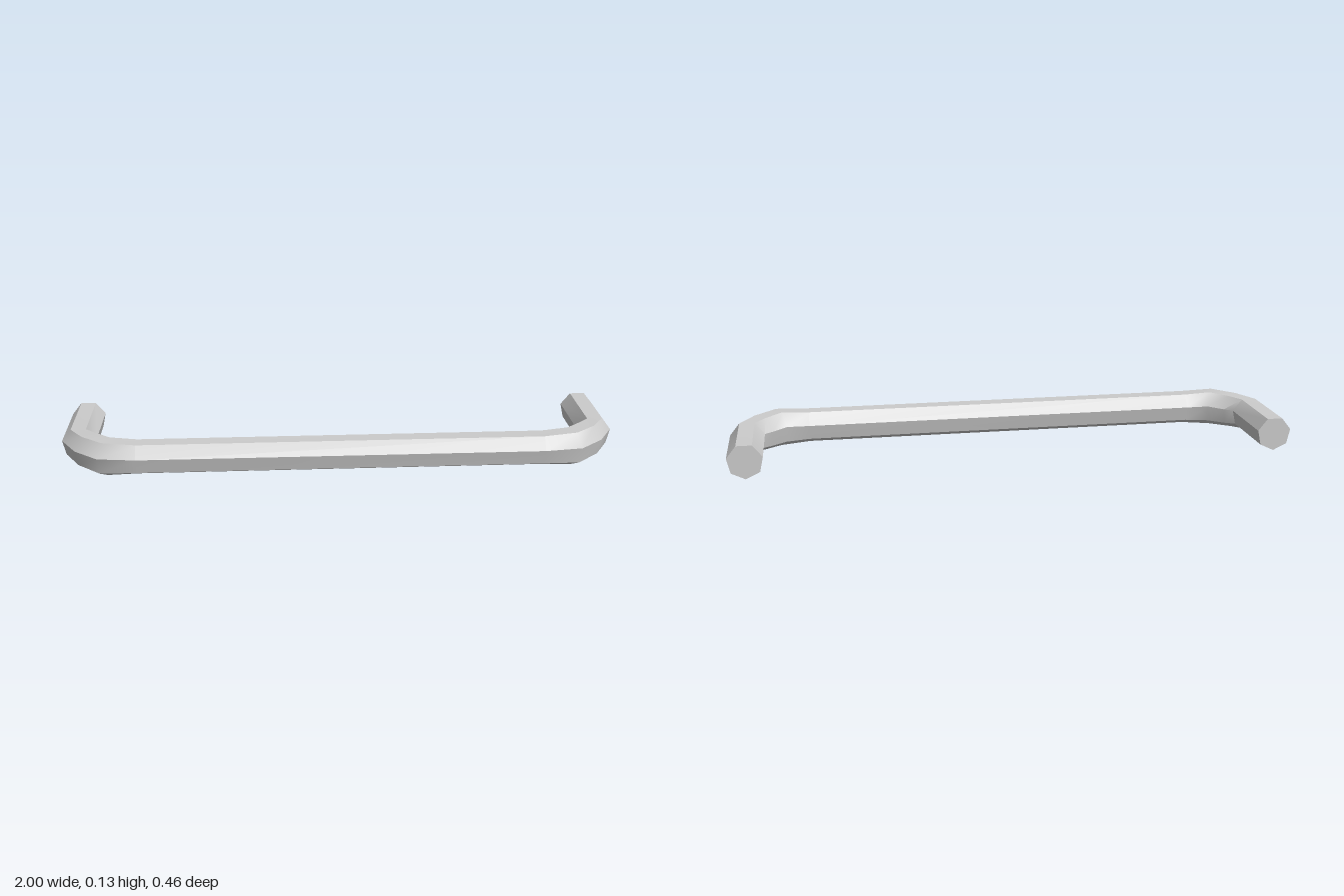
import * as THREE from 'three';
import { toCreasedNormals } from 'three/addons/utils/BufferGeometryUtils.js';

const SIDES = 7;
const CENTRE_Y = 0.0703;

// Half of the handle's path: x, z, outward angle (degrees), radius across, radius up
const HALF = [
  [0.939, -0.229, 0, 0.0626, 0.0626],  // leg end
  [0.939, 0.035, 2, 0.0626, 0.0626],   // leg meets bend
  [0.895, 0.096, 43, 0.064, 0.067],    // middle of bend
  [0.827, 0.157, 65, 0.0645, 0.0703],  // bend meets bar
  [0.72, 0.166, 90, 0.0626, 0.0626],   // straight bar
];

// Sweeps a seven-sided section, one corner down, through the rings
function sweep(rings) {
  const positions = [];
  const index = [];
  for (const [x, z, degrees, across, up] of rings) {
    const t = THREE.MathUtils.degToRad(degrees);
    for (let k = 0; k < SIDES; k++) {
      const a = -Math.PI / 2 + (k / SIDES) * Math.PI * 2;
      const out = Math.cos(a) * across;
      positions.push(x + out * Math.cos(t), CENTRE_Y + up * Math.sin(a), z + out * Math.sin(t));
    }
  }
  for (let i = 0; i < rings.length - 1; i++) {
    for (let k = 0; k < SIDES; k++) {
      const a = i * SIDES + k;
      const b = i * SIDES + ((k + 1) % SIDES);
      index.push(a, b, a + SIDES, b, b + SIDES, a + SIDES);
    }
  }
  // Flat end caps
  const last = (rings.length - 1) * SIDES;
  for (let k = 1; k < SIDES - 1; k++) {
    index.push(0, k + 1, k, last, last + k, last + k + 1);
  }
  const geometry = new THREE.BufferGeometry();
  geometry.setAttribute('position', new THREE.Float32BufferAttribute(positions, 3));
  geometry.setIndex(index);
  // Smooth along the bends, sharp between the long facets
  return toCreasedNormals(geometry, THREE.MathUtils.degToRad(40));
}

export function createModel() {
  const group = new THREE.Group();
  group.name = 'pullHandle';

  // The other half mirrors the first
  const mirrored = HALF.map(([x, z, t, across, up]) => [-x, z, 180 - t, across, up]).reverse();
  const handle = new THREE.Mesh(
    sweep([...HALF, ...mirrored]),
    new THREE.MeshStandardMaterial({ color: 0xcccccc })
  );
  handle.name = 'handleBar';
  group.add(handle);
  return group;
}
